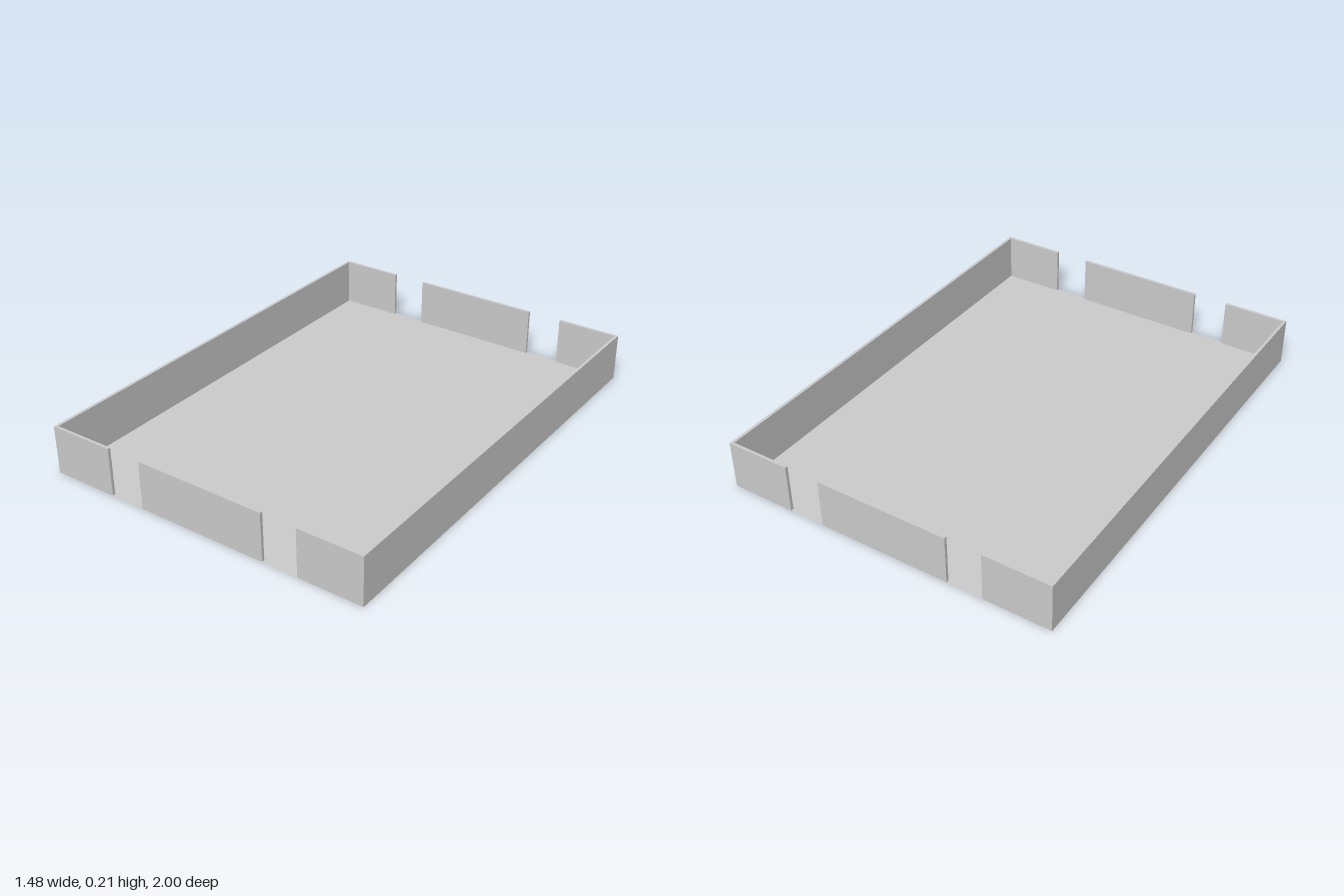
import * as THREE from 'three';

const HALF_W = 0.738, HALF_L = 1, HEIGHT = 0.213, WALL = 0.013;

export function createModel() {
  const tray = new THREE.Group();
  tray.name = 'tray';
  const material = new THREE.MeshStandardMaterial({ color: 0xcccccc, flatShading: true });

  // Upright wall standing on the ground, given by its x and z ranges
  const addWall = (name, x0, x1, z0, z1) => {
    const wall = new THREE.Mesh(new THREE.BoxGeometry(x1 - x0, HEIGHT, z1 - z0), material);
    wall.position.set((x0 + x1) / 2, HEIGHT / 2, (z0 + z1) / 2);
    wall.name = name;
    tray.add(wall);
  };

  // Thin floor sheet
  const floorMaterial = material.clone();
  floorMaterial.side = THREE.DoubleSide;
  const floor = new THREE.Mesh(new THREE.PlaneGeometry(2 * HALF_W, 2 * HALF_L), floorMaterial);
  floor.rotation.x = -Math.PI / 2;
  floor.position.y = 0.001;
  floor.name = 'floor';
  tray.add(floor);

  // Long side walls
  addWall('leftWall', HALF_W - WALL, HALF_W, -HALF_L, HALF_L);
  addWall('rightWall', -HALF_W, -HALF_W + WALL, -HALF_L, HALF_L);

  // End walls, each split into three panels by two gaps
  const panels = [
    ['RightPanel', -HALF_W + WALL, -0.445],
    ['MiddlePanel', -0.288, 0.295],
    ['LeftPanel', 0.453, HALF_W - WALL],
  ];
  for (const [panel, x0, x1] of panels) {
    addWall('front' + panel, x0, x1, HALF_L - WALL, HALF_L);
    addWall('back' + panel, x0, x1, -HALF_L, -HALF_L + WALL);
  }

  return tray;
}
